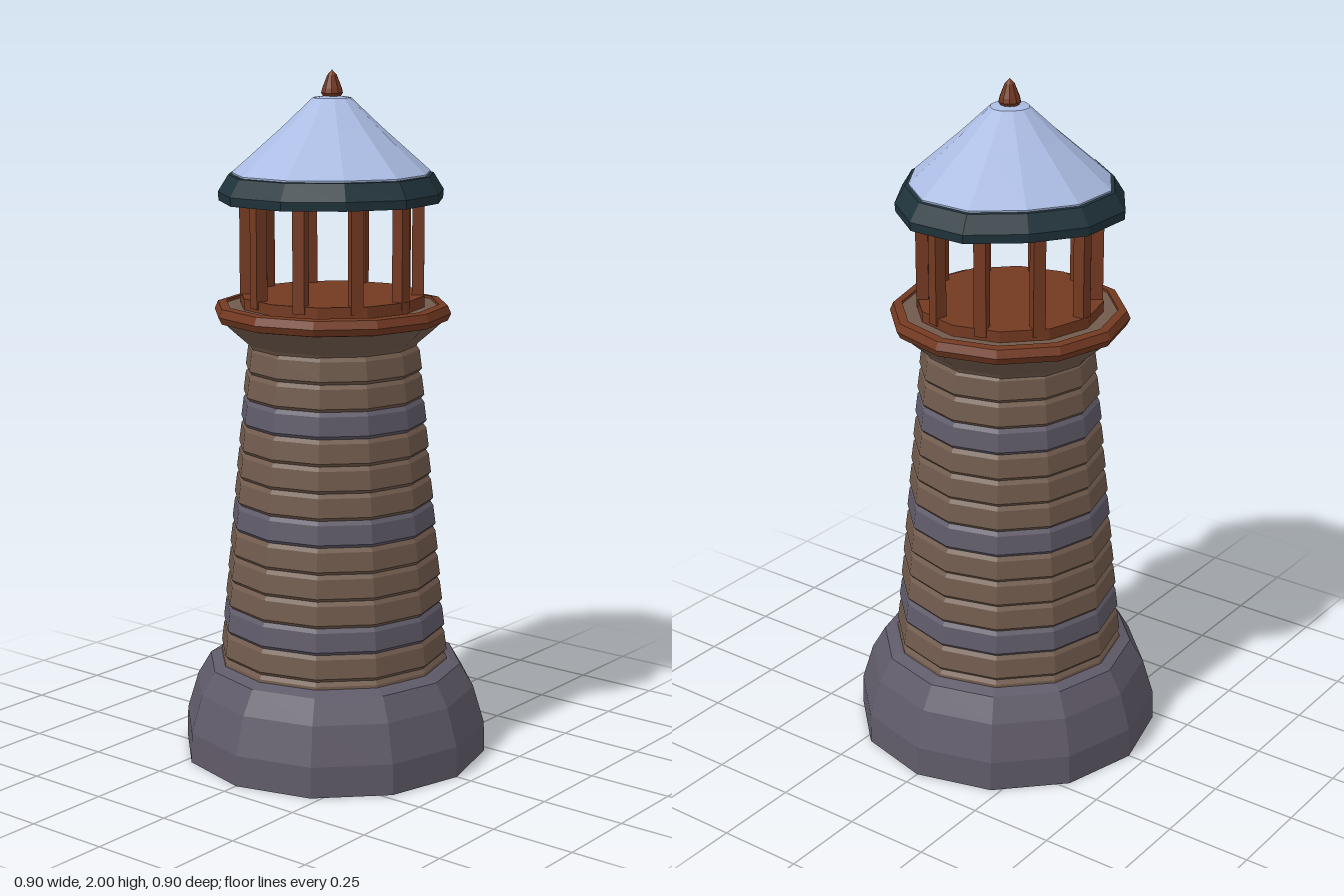
import * as THREE from 'three';

const SIDES = 12;

function material(name, color, extra = {}) {
  const m = new THREE.MeshStandardMaterial({ color, flatShading: true, ...extra });
  m.name = name;
  return m;
}

export function createModel() {
  const stone = material('grey stone', 0x5f5a68);
  const brick = material('brown brick', 0x705a4c);
  const timber = material('red timber', 0x733921);
  const roofBlue = material('pale blue roof', 0xaabbe2);
  const rimDark = material('dark teal rim', 0x20333b);

  const model = new THREE.Group();
  model.name = 'lighthouse';

  function add(name, geometry, mat, parent = model) {
    const mesh = new THREE.Mesh(geometry, mat);
    mesh.name = name;
    parent.add(mesh);
    return mesh;
  }

  // Faceted solid of revolution; the profile runs from bottom to top as [radius, height]
  function turned(profile, sides = SIDES, start = 0) {
    const points = profile.map(([r, y]) => new THREE.Vector2(r, y));
    return new THREE.LatheGeometry(points, sides, start);
  }

  // Hand-cut look: each corner of the ring gets its own radius factor
  const corners = [1.04, 0.99, 1.02, 0.97, 0.96, 1.03, 1.04, 0.96, 1.0, 1.01, 0.97, 1.04];
  function handCut(profile) {
    const geometry = turned(profile, SIDES, Math.PI / 12);
    const pos = geometry.attributes.position;
    for (let i = 0; i < pos.count; i++) {
      const f = corners[Math.floor(i / profile.length) % SIDES];
      pos.setXYZ(i, pos.getX(i) * f, pos.getY(i), pos.getZ(i) * f);
    }
    geometry.computeVertexNormals();
    return geometry;
  }

  // Stone base
  add('base', turned([
    [0, 0], [0.45, 0], [0.448, 0.09], [0.415, 0.2], [0.375, 0.268], [0.345, 0.28], [0, 0.28],
  ]), stone);

  // Tapering tower of overlapping courses, every fourth one grey
  const tower = new THREE.Group();
  tower.name = 'tower';
  tower.position.x = -0.004;
  model.add(tower);
  const step = 0.0765;
  const radiusAt = (y) => 0.338 - (y - 0.3) * 0.095;
  for (let k = -1; k < 12; k++) {
    const y0 = 0.3 + k * step;
    const y1 = y0 + step;
    const course = turned([
      [radiusAt(y0) - 0.009, y0],
      [radiusAt(y0), y0 + 0.01],
      [radiusAt(y1), y1 - 0.012],
      [radiusAt(y1) - 0.009, y1],
    ]);
    add(k % 4 === 1 ? 'greyCourse' : 'brownCourse', course, k % 4 === 1 ? stone : brick, tower);
  }

  // Everything above the tower
  const top = new THREE.Group();
  top.name = 'lanternRoom';
  top.position.x = -0.009;
  model.add(top);

  // Flared gallery with a timber edge
  add('galleryFlare', turned([
    [0.235, 1.2], [0.25, 1.225], [0.29, 1.26], [0.325, 1.292], [0.325, 1.33], [0, 1.33],
  ]), brick, top);
  add('galleryEdge', turned([
    [0.318, 1.288], [0.335, 1.292], [0.345, 1.312], [0.335, 1.335], [0.31, 1.338], [0.31, 1.325],
  ]), timber, top);
  add('lanternFloor', turned([
    [0.268, 1.325], [0.268, 1.362], [0, 1.362],
  ]), timber, top);

  // Ring of square posts
  const POSTS = 10;
  for (let i = 0; i < POSTS; i++) {
    const a = (i / POSTS) * Math.PI * 2;
    const post = add('post', new THREE.BoxGeometry(0.035, 0.32, 0.035), timber, top);
    post.position.set(Math.cos(a) * 0.247, 1.5, Math.sin(a) * 0.247);
    post.rotation.y = -a;
  }

  // Eaves and faceted roof
  add('roofRim', handCut([
    [0, 1.645], [0.3, 1.645], [0.334, 1.635], [0.336, 1.66], [0.305, 1.708], [0.26, 1.712],
  ]), rimDark, top);
  add('roof', handCut([
    [0.25, 1.7], [0.293, 1.703], [0.295, 1.714], [0.147, 1.84], [0.057, 1.922], [0, 1.93],
  ]), roofBlue, top);

  // Finial
  add('finial', turned([
    [0.022, 1.92], [0.032, 1.935], [0.029, 1.948], [0.014, 1.985], [0, 2],
  ], 10), timber, top);

  return model;
}
